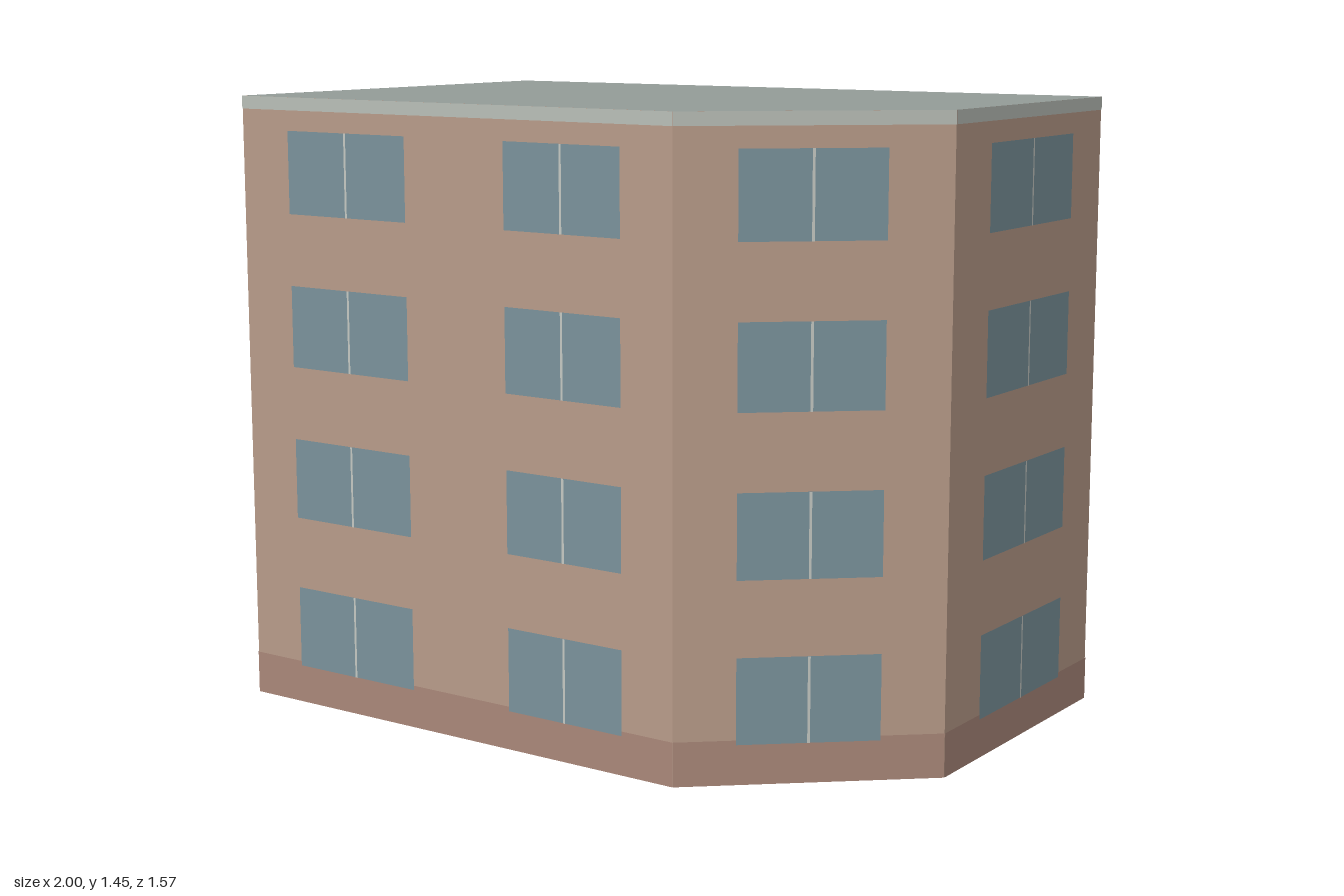
import * as THREE from 'three';

const HEIGHT = 1.445;
const PLINTH = 0.1;
const CORNICE = 0.03;

// Window rows: [sill, head]
const ROWS = [[0.09, 0.283], [0.453, 0.643], [0.815, 1.007], [1.175, 1.368]];

// Footprint corners [x, z], in order from left to right seen from outside
const CORNERS = [[-1, 0.157], [0.063, 0.785], [0.646, 0.672], [1, 0.047], [-0.467, -0.787]];

// Per wall: window columns as fractions of its length, which [column, row]
// windows have a centre bar (all if missing), and which have a balcony
const WALLS = [
  { name: 'frontLeftWall', columns: [[0.118, 0.407], [0.637, 0.892]] },
  { name: 'chamferWall', columns: [[0.23, 0.761]] },
  { name: 'frontRightWall', columns: [[0.22, 0.785]] },
  {
    name: 'backWall', columns: [[0.087, 0.284], [0.4, 0.602], [0.723, 0.917]],
    bars: [[1, 0], [2, 0]], balconies: [[1, 1]],
  },
  {
    name: 'sideWall', columns: [[0.129, 0.415], [0.592, 0.884]],
    bars: [[1, 0]], balconies: [[1, 1], [1, 2]],
  },
];

const paint = (color) => new THREE.MeshStandardMaterial({ color, side: THREE.DoubleSide });

export function createModel() {
  const mat = {
    wall: paint(0xb89b89),
    plinth: paint(0xa98779),
    cornice: paint(0xb9beb7),
    roof: paint(0x939c98),
    glass: paint(0x7a929b),
    bar: paint(0xc4c8c2),
    panel: paint(0x94a3a2),
  };
  const model = new THREE.Group();
  model.name = 'apartmentBlock';

  // Flat rectangle in a wall's own plane, pushed out by z
  function rect(parent, name, material, x0, x1, y0, y1, z) {
    const mesh = new THREE.Mesh(new THREE.PlaneGeometry(x1 - x0, y1 - y0), material);
    mesh.position.set((x0 + x1) / 2, (y0 + y1) / 2, z);
    mesh.name = name;
    parent.add(mesh);
  }

  // Box standing out from the wall plane
  function box(parent, name, material, x0, x1, y0, y1, depth) {
    const mesh = new THREE.Mesh(new THREE.BoxGeometry(x1 - x0, y1 - y0, depth), material);
    mesh.position.set((x0 + x1) / 2, (y0 + y1) / 2, depth / 2);
    mesh.name = name;
    parent.add(mesh);
  }

  const listed = (list, c, r) => list.some(([lc, lr]) => lc === c && lr === r);

  WALLS.forEach(({ name, columns, bars, balconies = [] }, i) => {
    const [ax, az] = CORNERS[i];
    const [bx, bz] = CORNERS[(i + 1) % CORNERS.length];
    const length = Math.hypot(bx - ax, bz - az);

    // Local x runs along the wall, local z points outwards
    const wall = new THREE.Group();
    wall.name = name;
    wall.position.set(ax, 0, az);
    wall.rotation.y = Math.atan2(az - bz, bx - ax);
    model.add(wall);

    rect(wall, 'wallFace', mat.wall, 0, length, 0, HEIGHT, 0);
    rect(wall, 'plinth', mat.plinth, 0, length, 0, PLINTH, 0.0015);
    rect(wall, 'cornice', mat.cornice, 0, length, HEIGHT - CORNICE, HEIGHT, 0.0015);

    columns.forEach(([f0, f1], c) => ROWS.forEach(([y0, y1], r) => {
      const x0 = f0 * length;
      const x1 = f1 * length;
      const mid = (x0 + x1) / 2;
      rect(wall, 'window', mat.glass, x0, x1, y0, y1, 0.003);
      if (!bars || listed(bars, c, r)) {
        rect(wall, 'windowBar', mat.bar, mid - 0.003, mid + 0.003, y0, y1, 0.0045);
      }
      // Shallow balcony guard with a rail on top
      if (listed(balconies, c, r)) {
        box(wall, 'balconyPanel', mat.panel, x0, x1, y0, y0 + 0.06, 0.01);
        box(wall, 'balconyRail', mat.bar, x0, x1, y0 + 0.06, y0 + 0.067, 0.012);
      }
    }));
  });

  // Flat roof over the footprint; the underside of the block is open
  const outline = new THREE.Shape(CORNERS.map(([x, z]) => new THREE.Vector2(x, -z)));
  const roof = new THREE.Mesh(new THREE.ShapeGeometry(outline).rotateX(-Math.PI / 2), mat.roof);
  roof.position.y = HEIGHT;
  roof.name = 'roof';
  model.add(roof);

  return model;
}
